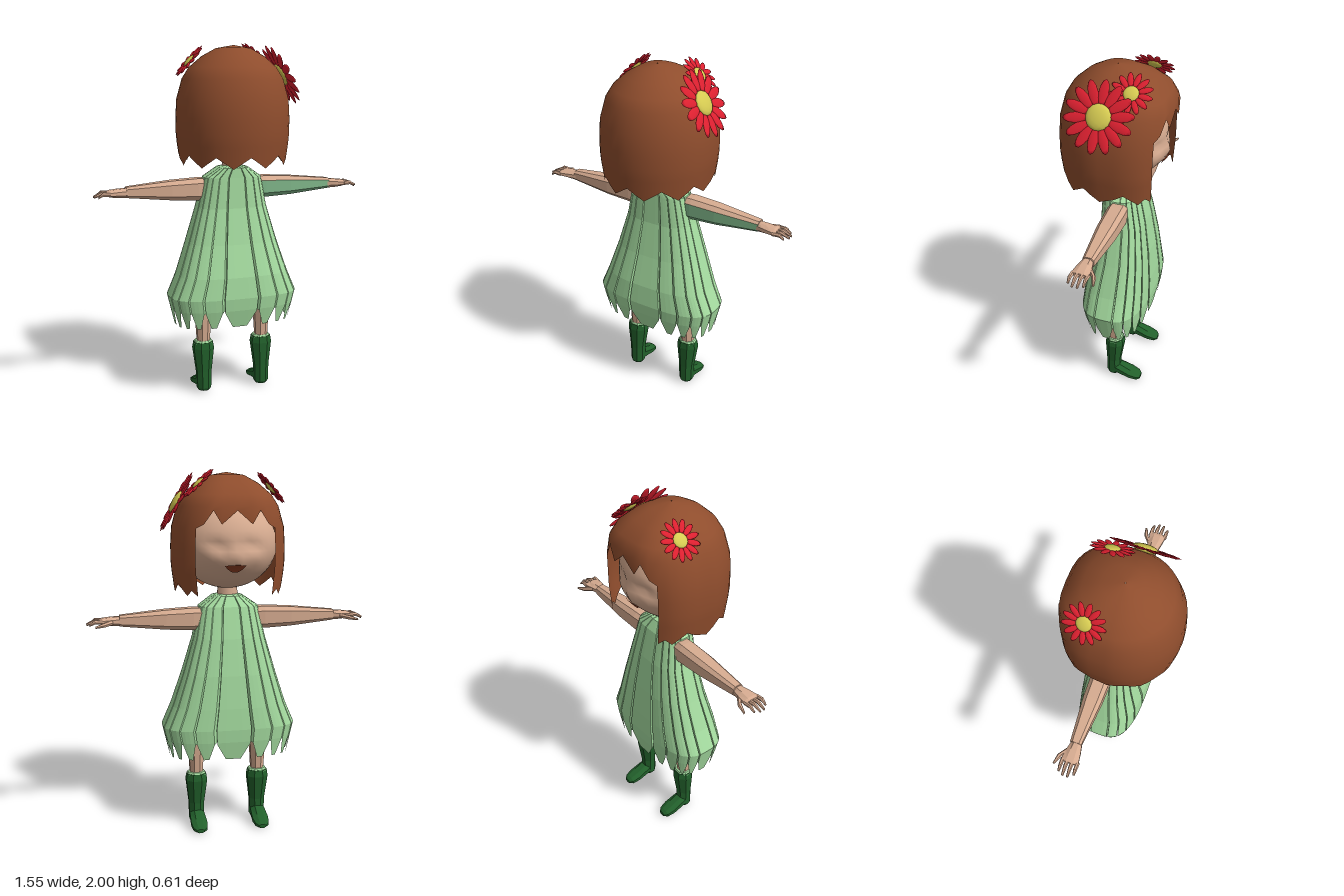
import * as THREE from 'three';

const mat = (name, color, side = THREE.FrontSide) => {
  const m = new THREE.MeshStandardMaterial({ color, side });
  m.name = name;
  return m;
};
const M = {
  hair: mat('chestnut hair', 0x8f4d2d, THREE.DoubleSide),
  skin: mat('skin', 0xd6ab90),
  dress: mat('pale green cloth', 0xa5dca0, THREE.DoubleSide),
  sleeve: mat('mid green', 0x80b78a),
  boot: mat('dark green boots', 0x22602b),
  petal: mat('red petals', 0xdd2030),
  pollen: mat('yellow flower centre', 0xd6cb52),
  mouth: mat('mouth', 0x8a3d22, THREE.DoubleSide),
};

const V = (x, y, z) => new THREE.Vector3(x, y, z);
const spow = (v, e) => Math.sign(v) * Math.pow(Math.abs(v), e);

function add(parent, name, geo, material) {
  const m = new THREE.Mesh(geo, material);
  m.name = name;
  parent.add(m);
  return m;
}

// Piecewise-linear lookup: rows are [key, values...] with falling keys
function lookup(rows, key) {
  let i = 0;
  while (i < rows.length - 2 && key < rows[i + 1][0]) i++;
  const a = rows[i], b = rows[i + 1];
  const t = THREE.MathUtils.clamp((a[0] - key) / (a[0] - b[0]), 0, 1);
  return a.map((v, k) => v + (b[k] - v) * t);
}

// Skin closed rings of points; options: caps, flat, skip(i,j), second(i,j) for a second material
function loft(rings, { caps = true, flat = true, skip, second } = {}) {
  const n = rings[0].length, pts = rings.flat();
  const mean = pts.reduce((s, p) => s.add(p), V(0, 0, 0)).divideScalar(pts.length);
  const main = [], other = [];
  for (let i = 0; i < rings.length - 1; i++) for (let j = 0; j < n; j++) {
    if (skip && skip(i, j)) continue;
    const a = i * n + j, b = i * n + (j + 1) % n;
    (second && second(i, j) ? other : main).push(a, b, b + n, a, b + n, a + n);
  }
  if (caps) for (let j = 1; j < n - 1; j++) {
    const e = (rings.length - 1) * n;
    main.push(0, j + 1, j, e, e + j, e + j + 1);
  }
  // Turn every face outward
  const index = [...main, ...other];
  let vol = 0;
  for (let k = 0; k < index.length; k += 3) {
    const [a, b, c] = [0, 1, 2].map(d => pts[index[k + d]].clone().sub(mean));
    vol += a.dot(b.cross(c));
  }
  if (vol < 0) for (let k = 0; k < index.length; k += 3) [index[k], index[k + 1]] = [index[k + 1], index[k]];
  let g = new THREE.BufferGeometry().setFromPoints(pts);
  g.setIndex(index);
  if (flat) g = g.toNonIndexed();
  g.computeVertexNormals();
  if (second) {
    g.addGroup(0, main.length, 0);
    g.addGroup(main.length, other.length, 1);
  }
  return g;
}
const ring = (n, fn) => Array.from({ length: n }, (_, j) => fn((j + 0.5) / n * Math.PI * 2));

// Hair: one dome with an open face, jagged fringe and jagged hem
function hairGeometry() {
  const N = 40, open = j => j >= 26 && j < 34;
  const profile = [[1.988, 0.01, 0.01], [1.972, 0.3, 0.36], [1.93, 0.54, 0.67], [1.87, 0.76, 0.92],
    [1.8, 0.9, 1.03], [1.7, 0.98, 1.02], [1.6, 1, 1], [1.5, 1, 1], [1.43, 0.97, 0.99], [1.34, 0.93, 0.98]];
  const ys = [1.988, 1.972, 1.93, 1.87, 1.81, 1.7, 1.6, 1.52, 1.46, 1.34];
  const hem = [1.345, 1.375, 1.405, 1.375];
  const rings = ys.map((y0, i) => Array.from({ length: N }, (_, j) => {
    let y = y0;
    if (i === 5 && j > 26 && j < 34) y = j % 2 ? 1.72 : 1.79;
    if (i === ys.length - 1) y = j === 26 || j === 34 ? 1.345 : hem[j % 4];
    const t = j / N * Math.PI * 2, c = Math.cos(t), s = Math.sin(t), f = lookup(profile, y);
    return s >= 0 ? V(0.308 * c * f[1], y, 0.305 * s * f[1])
      : V(0.308 * spow(c, 0.7) * f[1], y, 0.295 * spow(s, 0.7) * (f[1] + (f[2] - f[1]) * -s));
  }));
  return loft(rings, { caps: false, flat: false, skip: (i, j) => i >= 5 && open(j) });
}

// Face relief added to the front of the head
const bump = (x, y, cx, cy, w, h) => Math.exp(-(((x - cx) / w) ** 2) - ((y - cy) / h) ** 2);
const relief = (x, y) => 0.018 * bump(x, y, 0, 1.56, 0.03, 0.03) + 0.018 * bump(x, y, 0, 1.51, 0.07, 0.045)
  - 0.022 * (bump(x, y, 0.09, 1.61, 0.05, 0.025) + bump(x, y, -0.09, 1.61, 0.05, 0.025))
  + 0.012 * (bump(x, y, 0.11, 1.54, 0.05, 0.04) + bump(x, y, -0.11, 1.54, 0.05, 0.04));
const HEAD = { r: [0.272, 0.24, 0.236], y: 1.605, z: -0.03 };
const faceZ = (x, y) => HEAD.z - relief(x, y)
  - HEAD.r[2] * Math.sqrt(Math.max(0, 1 - (x / HEAD.r[0]) ** 2 - ((y - HEAD.y) / HEAD.r[1]) ** 2));

function buildHead(g) {
  const head = new THREE.SphereGeometry(1, 40, 28).scale(...HEAD.r).translate(0, HEAD.y, HEAD.z);
  const p = head.attributes.position;
  for (let i = 0; i < p.count; i++)
    if (p.getZ(i) < -0.08) p.setZ(i, p.getZ(i) - relief(p.getX(i), p.getY(i)));
  head.computeVertexNormals();
  add(g, 'head', head, M.skin);
  const lips = new THREE.Shape();
  lips.moveTo(-0.058, 1.505);
  lips.quadraticCurveTo(0, 1.515, 0.058, 1.505);
  lips.quadraticCurveTo(0, 1.43, -0.058, 1.505);
  const mouth = new THREE.ShapeGeometry(lips, 8), q = mouth.attributes.position;
  for (let i = 0; i < q.count; i++) q.setZ(i, faceZ(q.getX(i), q.getY(i)) - 0.009);
  mouth.computeVertexNormals();
  add(g, 'mouth', mouth, M.mouth);
  add(g, 'neck', new THREE.CylinderGeometry(0.05, 0.06, 0.14, 10).translate(0, 1.36, -0.03), M.skin);
  add(g, 'hair', hairGeometry(), M.hair);
}

// Pleated dress with a ragged hem
function dressGeometry() {
  const P = 20;
  const rows = [[1.335, 0.045, 0.05, -0.025], [1.325, 0.085, 0.085, -0.025], [1.27, 0.165, 0.1, -0.04],
    [1.1, 0.202, 0.122, -0.056], [0.9, 0.262, 0.153, -0.054], [0.72, 0.322, 0.181, -0.042],
    [0.6, 0.374, 0.188, -0.04], [0.53, 0.358, 0.181, -0.042], [0.43, 0.335, 0.16, -0.046]];
  // Points across one pleat: position, depth, hem height
  const pleat = [[0, 1, 0.52], [0.3, 1, 0.43], [0.6, 1, 0.43], [0.89, 1, 0.52], [0.95, 0.89, 0.53]];
  const rings = rows.map((r, i) => Array.from({ length: P * 5 }, (_, k) => {
    const [u, d, hem] = pleat[k % 5], t = (Math.floor(k / 5) + u - 0.45 + P / 4) / P * Math.PI * 2;
    const [y, hx, hz, zc] = i === rows.length - 1 ? lookup(rows, hem) : r;
    return V(hx * d * spow(Math.cos(t), 0.68), y, zc + hz * d * spow(Math.sin(t), 0.68));
  }));
  return loft(rings, { caps: false });
}

// Arm with palm, fingers and thumb; s = 1 is the +x side
function buildArm(g, s) {
  const arm = new THREE.Group();
  arm.name = s > 0 ? 'leftArm' : 'rightArm';
  g.add(arm);
  const across = (x, y, z, hy, hz, n = 8, e = 1) =>
    ring(n, a => V(s * x, y + hy * spow(Math.cos(a), e), z + hz * spow(Math.sin(a), e)));
  // Boxy upper and lower arm with chamfered edges
  const limb = [[0.12, 0.06, 0.05], [0.2, 0.064, 0.056], [0.35, 0.056, 0.053], [0.6, 0.031, 0.032]]
    .map(([x, hy, hz]) => across(x, 1.203, -0.058, hy, hz, 8, 0.6));
  if (s > 0) add(arm, 'arm', loft(limb, { second: (i, j) => j === 1 || j === 2 }), [M.skin, M.sleeve]);
  else add(arm, 'arm', loft(limb), M.skin);
  add(arm, 'palm', loft([[0.59, 0.029, 0.03], [0.64, 0.026, 0.042], [0.69, 0.02, 0.05], [0.705, 0.013, 0.05]]
    .map(([x, hy, hz]) => across(x, 1.2, -0.055, hy, hz))), M.skin);
  [-0.094, -0.068, -0.041, -0.013].forEach((z, k) => {
    const end = [0.76, 0.775, 0.775, 0.755][k];
    add(arm, 'finger', loft([across(0.69, 1.2, z, 0.012, 0.011, 6), across(0.73, 1.203, z, 0.012, 0.01, 6),
      across(end, 1.185, z, 0.006, 0.006, 6)]), M.skin);
  });
  add(arm, 'thumb', loft([across(0.635, 1.198, -0.08, 0.014, 0.016, 6), across(0.68, 1.19, -0.117, 0.013, 0.013, 6),
    across(0.73, 1.18, -0.133, 0.006, 0.006, 6)]), M.skin);
}

// Leg and boot
function buildLeg(g, s) {
  const leg = new THREE.Group();
  leg.name = s > 0 ? 'leftLeg' : 'rightLeg';
  leg.position.x = s * 0.178 + 0.007;
  g.add(leg);
  const level = (y, z, hx, hz) => ring(8, a => V(hx * Math.cos(a), y, z + hz * Math.sin(a)));
  add(leg, 'shin', loft([level(0.75, -0.05, 0.062, 0.064), level(0.53, -0.05, 0.051, 0.055),
    level(0.3, -0.045, 0.038, 0.038)]), M.skin);
  add(leg, 'bootCuff', loft([level(0.318, -0.05, 0.05, 0.045), level(0.3, -0.05, 0.06, 0.053)]), M.dress);
  add(leg, 'bootShaft', loft([level(0.308, -0.05, 0.058, 0.052), level(0.27, -0.05, 0.065, 0.058),
    level(0.13, -0.042, 0.047, 0.044), level(0.03, -0.042, 0.044, 0.044), level(0.015, -0.042, 0.036, 0.036)]), M.boot);
  add(leg, 'bootFoot', loft([[-0.02, 0.036, 0.015, 0.11], [-0.08, 0.042, 0.014, 0.09], [-0.15, 0.046, 0.006, 0.06],
    [-0.195, 0.038, 0.002, 0.042], [-0.212, 0.02, 0.006, 0.028]]
    .map(([z, hx, y0, y1]) => ring(8, a => V(hx * 1.08 * Math.cos(a), (y0 + y1) / 2 + (y1 - y0) / 2 * 1.08 * Math.sin(a), z)))), M.boot);
}

// Daisy facing along a normal
function buildFlower(g, centre, normal, r, count) {
  const f = new THREE.Group();
  f.name = 'flower';
  f.position.copy(centre);
  f.quaternion.setFromUnitVectors(V(0, 0, 1), normal.normalize());
  g.add(f);
  const petal = new THREE.SphereGeometry(1, 8, 6).scale(r * 0.36, r * 0.145, 0.006).translate(r * 0.64, 0, 0);
  for (let k = 0; k < count; k++) add(f, 'petal', petal, M.petal).rotation.z = (k + 0.5) / count * Math.PI * 2;
  add(f, 'flowerCentre', new THREE.SphereGeometry(1, 14, 8).scale(r * 0.36, r * 0.36, r * 0.12), M.pollen);
}

export function createModel() {
  const g = new THREE.Group();
  g.name = 'girl';
  buildHead(g);
  add(g, 'dress', dressGeometry(), M.dress);
  for (const s of [1, -1]) {
    buildArm(g, s);
    buildLeg(g, s);
  }
  buildFlower(g, V(0.275, 1.83, 0.003), V(0.87, 0.49, 0), 0.183, 14);
  buildFlower(g, V(0.175, 1.928, -0.127), V(0.68, 0.72, -0.05), 0.11, 13);
  buildFlower(g, V(-0.218, 1.905, -0.122), V(-0.75, 0.66, -0.02), 0.11, 13);
  return g;
}
